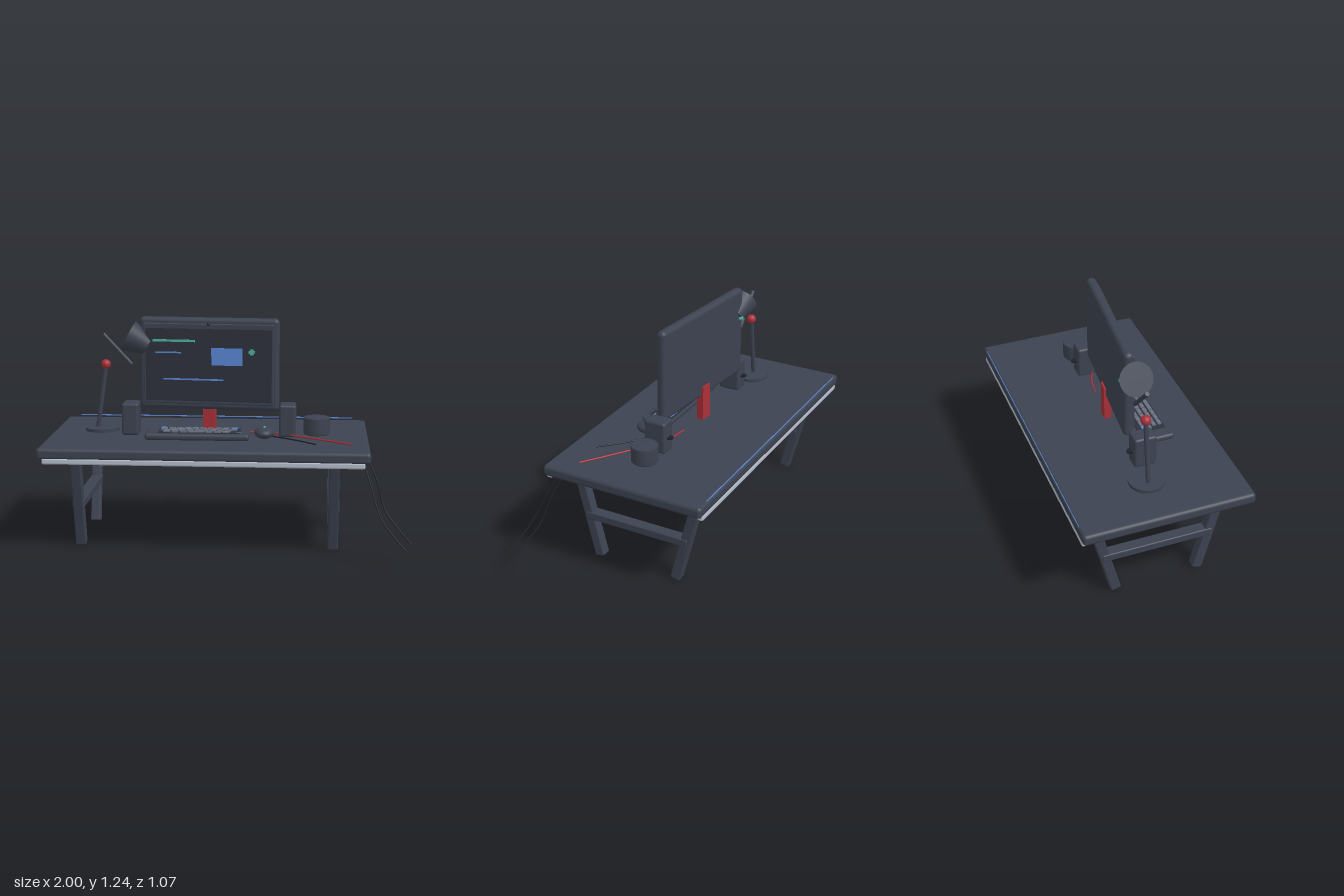
import * as THREE from 'three';
import { RoundedBoxGeometry } from 'three/addons/geometries/RoundedBoxGeometry.js';

const mat = (name, color) => {
  const m = new THREE.MeshStandardMaterial({ color });
  m.name = name;
  return m;
};

export function createModel() {
  const root = new THREE.Group();
  root.name = 'computerDesk';
  const slate = mat('slate', 0x3c4250);
  const screenDark = mat('screenDark', 0x2d323c);
  const black = mat('cableBlack', 0x1e2129);
  const silver = mat('silver', 0xb4bcc9);
  const keyGrey = mat('keyGrey', 0x6a7080);
  const red = mat('red', 0xa93038);
  const blue = mat('blue', 0x5a86d6);
  const teal = mat('teal', 0x4fb39c);

  const add = (parent, name, geo, m, x = 0, y = 0, z = 0) => {
    const mesh = new THREE.Mesh(geo, m);
    mesh.name = name;
    mesh.position.set(x, y, z);
    parent.add(mesh);
    return mesh;
  };
  const box = (parent, name, m, w, h, d, x, y, z, r = 0) =>
    add(parent, name, r ? new RoundedBoxGeometry(w, h, d, 3, r) : new THREE.BoxGeometry(w, h, d), m, x, y, z);
  // Tapered round bar between two points
  const bar = (parent, name, m, a, b, ra, rb = ra, sides = 16) => {
    const p = new THREE.Vector3(...a), q = new THREE.Vector3(...b);
    const mesh = add(parent, name, new THREE.CylinderGeometry(rb, ra, p.distanceTo(q), sides), m);
    mesh.position.copy(p).add(q).multiplyScalar(0.5);
    mesh.quaternion.setFromUnitVectors(new THREE.Vector3(0, 1, 0), q.sub(p).normalize());
    return mesh;
  };
  const cable = (name, m, pts, r) => {
    const curve = new THREE.CatmullRomCurve3(pts.map(p => new THREE.Vector3(...p)));
    return add(root, name, new THREE.TubeGeometry(curve, 32, r, 8), m);
  };

  // Table top, edge trims, tray and rear light strip
  const cx = -0.11, cz = -0.063;
  box(root, 'tableTop', slate, 1.78, 0.063, 0.935, cx, 0.5585, cz, 0.02);
  for (const s of [-1, 1])
    box(root, 'edgeTrim', silver, 1.72, 0.034, 0.034, cx, 0.52, cz + s * 0.449, 0.01);
  box(root, 'underTray', slate, 0.49, 0.05, 0.2, -0.105, 0.508, 0.22, 0.008);
  box(root, 'lightStrip', blue, 1.63, 0.006, 0.003, cx, 0.6, -0.528);

  // Splayed leg frames
  for (const x of [-0.805, 0.59]) {
    for (const s of [-1, 1]) {
      const leg = box(root, 'leg', slate, 0.057, 0.54, 0.056, x, 0.268, cz + s * 0.298, 0.008);
      leg.rotation.x = s * 0.247;
    }
    box(root, 'topRail', slate, 0.05, 0.045, 0.74, x, 0.507, cz, 0.006);
    box(root, 'crossRail', slate, 0.066, 0.046, 0.62, x, 0.248, cz, 0.008);
  }

  // Monitor, turned slightly
  const monitor = new THREE.Group();
  monitor.name = 'monitor';
  monitor.position.set(-0.107, 0.988, -0.064);
  monitor.rotation.y = -0.095;
  root.add(monitor);
  box(monitor, 'housing', slate, 0.785, 0.514, 0.055, 0, 0, 0, 0.024);
  box(monitor, 'bezel', slate, 0.735, 0.45, 0.014, 0, 0, 0.031, 0.006);
  box(monitor, 'screen', screenDark, 0.71, 0.405, 0.004, 0, -0.006, 0.0385);
  add(monitor, 'camera', new THREE.SphereGeometry(0.008, 12, 8), black, 0, 0.222, 0.035);
  // Screen graphics: material, x, y, width, height
  const graphics = [
    [teal, -0.195, 0.129, 0.24, 0.013],
    [blue, -0.227, 0.063, 0.145, 0.008],
    [blue, 0.105, 0.044, 0.175, 0.097],
    [blue, -0.083, -0.086, 0.34, 0.009],
    [teal, 0.243, 0.072, 0.02, 0.032],
    [teal, 0.243, 0.072, 0.034, 0.016],
  ];
  for (const [m, x, y, w, h] of graphics) box(monitor, 'screenGraphic', m, w, h, 0.003, x, y, 0.0415);
  box(monitor, 'standNeck', red, 0.07, 0.2, 0.04, -0.003, -0.293, -0.018);

  // Keyboard
  const keyboard = new THREE.Group();
  keyboard.name = 'keyboard';
  root.add(keyboard);
  box(keyboard, 'keyboardBase', slate, 0.57, 0.036, 0.17, -0.16, 0.616, 0.1, 0.015);
  box(keyboard, 'keyBed', screenDark, 0.45, 0.006, 0.135, -0.15, 0.634, 0.09);
  [10, 9, 9, 8].forEach((n, row) => {
    const left = row < 2 ? -0.37 : -0.35, right = [0.062, 0.06, 0.03, 0.022][row];
    const pitch = (right - left) / n;
    for (let i = 0; i < n; i++) {
      if (row === 3 && (i === 3 || i === 4)) continue;
      const m = row === 0 && (i === 0 || i === n - 1) ? blue : keyGrey;
      box(keyboard, 'key', m, pitch - 0.009, 0.008, 0.02, left + pitch * (i + 0.5), 0.64, 0.042 + row * 0.032);
    }
    if (row === 3)
      box(keyboard, 'spaceBar', keyGrey, pitch * 2 - 0.009, 0.008, 0.02, left + pitch * 4, 0.64, 0.138);
  });
  box(keyboard, 'keyLight', teal, 0.022, 0.004, 0.006, 0.067, 0.638, 0.131);

  // Mouse
  const mouse = add(root, 'mouse', new THREE.SphereGeometry(1, 28, 18), slate, 0.207, 0.63, 0.08);
  mouse.scale.set(0.055, 0.033, 0.08);
  box(root, 'mouseWheel', teal, 0.01, 0.008, 0.03, 0.208, 0.661, 0.092);

  // Speakers with a rear knob
  for (const x of [-0.547, 0.332]) {
    box(root, 'speaker', slate, 0.093, 0.18, 0.125, x, 0.68, -0.042, 0.014);
    add(root, 'speakerKnob', new THREE.CylinderGeometry(0.02, 0.02, 0.008, 16), black, x, 0.676, -0.112);
  }

  // Cup: walled pot with an open top
  const cup = [[0, 0], [0.068, 0], [0.073, 0.006], [0.073, 0.092], [0.07, 0.096], [0, 0.096]];
  add(root, 'cup', new THREE.LatheGeometry(cup.map(p => new THREE.Vector2(...p)), 32), slate, 0.493, 0.599, -0.05);

  // Lamp
  const lamp = new THREE.Group();
  lamp.name = 'lamp';
  root.add(lamp);
  const lz = -0.088;
  add(lamp, 'lampBase', new THREE.CylinderGeometry(0.097, 0.097, 0.018, 32), slate, -0.718, 0.608, lz);
  bar(lamp, 'lampPole', slate, [-0.745, 0.61, lz], [-0.693, 0.975, lz], 0.013);
  add(lamp, 'lampJoint', new THREE.SphereGeometry(0.027, 20, 14), red, -0.693, 0.975, lz);
  bar(lamp, 'lampArm', slate, [-0.705, 1.145, lz], [-0.548, 0.976, lz], 0.011);
  bar(lamp, 'lampShade', slate, [-0.563, 1.137, lz], [-0.453, 1.079, lz], 0.09, 0.05, 32);
  add(lamp, 'lampSwitch', new THREE.SphereGeometry(0.016, 12, 8), teal, -0.462, 1.075, -0.13);

  // Cables on the table and hanging off the side
  cable('redCable', red, [[0.1, 0.602, -0.07], [0.22, 0.602, -0.05], [0.34, 0.602, 0.01], [0.52, 0.602, 0.125], [0.68, 0.602, 0.237]], 0.005);
  cable('mouseCable', black, [[0.22, 0.602, 0.03], [0.31, 0.602, 0.09], [0.41, 0.602, 0.17], [0.492, 0.602, 0.252]], 0.004);
  cable('hangingCable', black, [[0.765, 0.54, 0.295], [0.815, 0.43, 0.335], [0.857, 0.285, 0.38], [0.92, 0.2, 0.425], [0.995, 0.123, 0.475]], 0.005);
  cable('hangingCable', black, [[0.745, 0.52, 0.335], [0.78, 0.42, 0.385], [0.835, 0.255, 0.455], [0.895, 0.175, 0.495], [0.963, 0.103, 0.53]], 0.005);

  return root;
}
